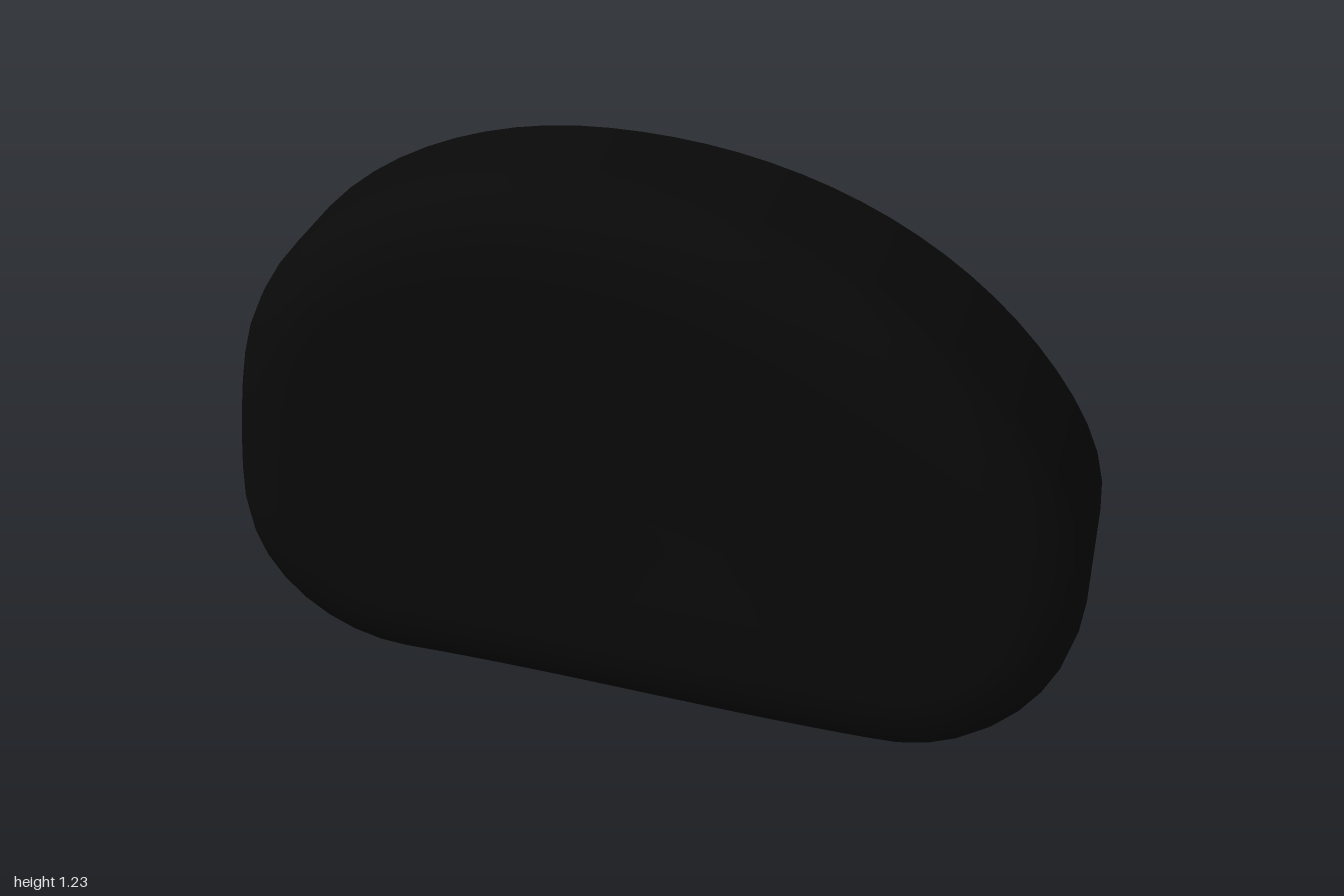
import * as THREE from 'three';

const BACK = -0.3, WALL = 0.11, N = 72;
const CENTRE = new THREE.Vector2(-0.05, 0.52);

// Lopsided dome outline with a flat base, counter-clockwise seen from the front
function outline() {
  const s = new THREE.Shape();
  s.moveTo(-0.58, 0);
  s.lineTo(0.58, 0);
  s.bezierCurveTo(0.81, 0, 1, 0.19, 1, 0.42);
  s.bezierCurveTo(1, 0.52, 0.96, 0.61, 0.9, 0.7);
  s.bezierCurveTo(0.66, 1.05, 0.25, 1.235, -0.2, 1.235);
  s.bezierCurveTo(-0.55, 1.235, -0.89, 1.06, -0.967, 0.77);
  s.bezierCurveTo(-0.99, 0.68, -1, 0.52, -1, 0.4);
  s.bezierCurveTo(-1, 0.17, -0.8, 0, -0.58, 0);
  return s.getSpacedPoints(N).slice(0, N);
}

// Height of the front face: rises towards +x, falls away towards the upper right
function faceZ(x, y) {
  const cx = THREE.MathUtils.clamp(x, -0.9, 0.9);
  const fall = 0.09 * Math.max(0, y - 0.25) * (0.7 + 0.3 * cx);
  return 0.209 + 0.098 * Math.sin(1.65 * cx) - fall;
}

export function createModel() {
  const pts = outline();
  const normals = pts.map((p, i) => {
    const t = pts[(i + 1) % N].clone().sub(pts[(i + N - 1) % N]).normalize();
    return new THREE.Vector2(-t.y, t.x);
  });

  // One closed ring: outline moved inwards, then shrunk to the centre by k
  const ring = (inset, zAt, k = 1) => pts.map((p, i) => {
    const q = p.clone().addScaledVector(normals[i], inset).sub(CENTRE).multiplyScalar(k).add(CENTRE);
    return new THREE.Vector3(q.x, q.y, zAt(q.x, q.y));
  });
  const backRing = inset => ring(inset, () => BACK);

  // Wall, rounded edge and front face, from the back to the middle of the face
  const skin = (inset, depth, r) => {
    const rings = [backRing(inset)];
    for (let i = 0; i <= 5; i++) {
      const a = (i / 5) * Math.PI / 2;
      rings.push(ring(inset + r * (1 - Math.cos(a)), (x, y) => faceZ(x, y) - depth - r * (1 - Math.sin(a))));
    }
    for (const k of [0.9, 0.75, 0.6, 0.45, 0.3, 0.15, 0]) {
      rings.push(ring(inset + r, (x, y) => faceZ(x, y) - depth, k));
    }
    return rings;
  };

  const material = new THREE.MeshStandardMaterial({ color: 0x090909 });
  const group = new THREE.Group();
  group.name = 'hollowCover';

  // Smooth surface through a stack of rings
  const loft = (name, rings) => {
    const pos = rings.flat().flatMap(v => [v.x, v.y, v.z]);
    const index = [];
    for (let i = 0; i < rings.length - 1; i++) {
      for (let j = 0; j < N; j++) {
        const a = i * N + j, b = i * N + (j + 1) % N;
        index.push(a, b, b + N, a, b + N, a + N);
      }
    }
    const g = new THREE.BufferGeometry();
    g.setAttribute('position', new THREE.Float32BufferAttribute(pos, 3));
    g.setIndex(index);
    g.computeVertexNormals();
    const mesh = new THREE.Mesh(g, material);
    mesh.name = name;
    group.add(mesh);
  };

  loft('outerShell', skin(0, 0, 0.16));
  loft('backRim', [backRing(WALL), backRing(0)]);
  loft('innerCavity', skin(WALL, WALL, 0.075).reverse());
  return group;
}
